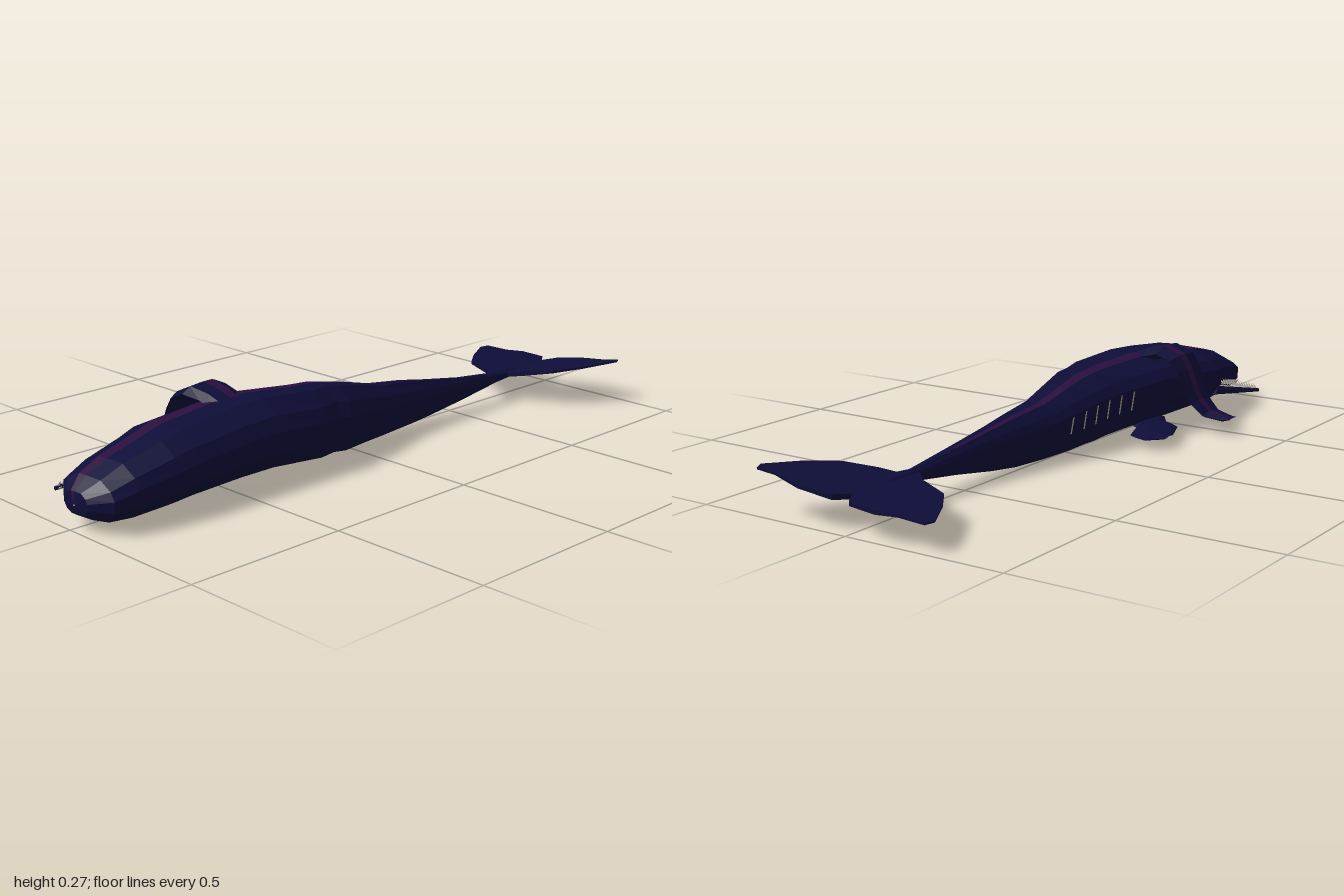
import * as THREE from 'three';

const mat = (name, color, double) => {
  const m = new THREE.MeshStandardMaterial({ color, flatShading: true });
  m.name = name;
  if (double) m.side = THREE.DoubleSide;
  return m;
};

// Skin stretched over closed rings of points; keep(j, i) picks the faces
function loft(rings, keep) {
  const pos = [];
  const n = rings[0].length;
  for (let i = 0; i < rings.length - 1; i++) {
    for (let j = 0; j < n; j++) {
      if (!keep(j, i)) continue;
      const k = (j + 1) % n;
      const a = rings[i][j], b = rings[i][k], c = rings[i + 1][j], d = rings[i + 1][k];
      pos.push(...a, ...c, ...b, ...b, ...c, ...d);
    }
  }
  const g = new THREE.BufferGeometry();
  g.setAttribute('position', new THREE.Float32BufferAttribute(pos, 3));
  g.computeVertexNormals();
  return g;
}

// Body stations: z, left x, right x, bottom y, top y
const STATIONS = [
  [0.995, 0.015, 0.02, 0.075, 0.08],
  [0.99, -0.035, 0.07, 0.05, 0.115],
  [0.95, -0.09, 0.135, 0.028, 0.15],
  [0.88, -0.11, 0.15, 0.022, 0.18],
  [0.75, -0.135, 0.158, 0.025, 0.212],
  [0.68, -0.16, 0.158, 0.028, 0.225],
  [0.5, -0.155, 0.152, 0.03, 0.245],
  [0.38, -0.14, 0.152, 0.03, 0.252],
  [0.2, -0.1, 0.158, 0.018, 0.24],
  [0.13, -0.088, 0.135, 0.014, 0.235],
  [0.09, -0.082, 0.143, 0.012, 0.228],
  [0, -0.072, 0.12, 0.01, 0.21],
  [-0.12, -0.05, 0.095, 0.01, 0.18],
  [-0.25, -0.025, 0.075, 0.013, 0.165],
  [-0.35, -0.008, 0.068, 0.023, 0.148],
  [-0.5, 0.012, 0.063, 0.045, 0.125],
  [-0.68, 0.018, 0.052, 0.07, 0.104],
  [-0.8, 0.02, 0.045, 0.078, 0.1],
  [-0.93, 0.03, 0.032, 0.086, 0.09],
];
// Cross-section from -1 to 1, anticlockwise from the back of the animal
const SECTION = [
  [1, 0.25], [0.86, 0.64], [0.48, 1], [-0.06, 0.98], [-0.36, 0.94], [-0.82, 0.62],
  [-1, 0.35], [-0.98, -0.25], [-0.75, -0.75], [-0.4, -1], [0.1, -1], [0.75, -0.78], [0.98, -0.3],
];
const place = ([z, x0, x1, y0, y1], [u, v]) =>
  [(x0 + x1) / 2 + u * (x1 - x0) / 2, (y0 + y1) / 2 + v * (y1 - y0) / 2, z];

// Point on the body skin at any z
function onBody(z, u, v) {
  const i = STATIONS.findIndex((s) => s[0] <= z);
  const a = STATIONS[i - 1], b = STATIONS[i];
  const t = (a[0] - z) / (a[0] - b[0]);
  return place(a.map((q, k) => q + (b[k] - q) * t), [u, v]);
}

// Flipper rings from stations: x, y, rear z, front z, thickness
function flipperRings(path) {
  return path.map(([x, y, z0, z1, th], i) => {
    const p = path[Math.max(i - 1, 0)], q = path[Math.min(i + 1, path.length - 1)];
    const dx = q[0] - p[0], dy = q[1] - p[1], l = Math.hypot(dx, dy);
    const nx = dy / l, ny = -dx / l;
    return [[0, 0], [0.28, 0.5], [0.5, 0.5], [0.8, 0.4], [1, 0], [0.75, -0.5], [0.28, -0.5]]
      .map(([s, h]) => [x + nx * h * th, y + ny * h * th, z0 + (z1 - z0) * s]);
  });
}
const UPPER = [
  [0.0, 0.225, 0.37, 0.5, 0.04], [-0.05, 0.245, 0.37, 0.51, 0.04], [-0.1, 0.257, 0.37, 0.53, 0.042],
  [-0.145, 0.237, 0.38, 0.535, 0.038], [-0.168, 0.2, 0.39, 0.535, 0.032], [-0.182, 0.15, 0.4, 0.54, 0.03],
  [-0.202, 0.1, 0.415, 0.54, 0.03], [-0.24, 0.062, 0.43, 0.535, 0.024],
  [-0.29, 0.052, 0.45, 0.525, 0.018], [-0.318, 0.053, 0.465, 0.515, 0.004],
];
const LOWER = [
  [0.0, 0.03, 0.35, 0.5, 0.04], [-0.06, 0.022, 0.32, 0.5, 0.036], [-0.1, 0.024, 0.22, 0.44, 0.036],
  [-0.15, 0.034, 0.17, 0.39, 0.032], [-0.195, 0.038, 0.145, 0.35, 0.024],
  [-0.23, 0.04, 0.18, 0.27, 0.014], [-0.243, 0.041, 0.2, 0.235, 0.003],
];
// Half fluke outlines, x and distance behind the middle
const FLUKES = {
  leftFluke: [[0.035, 0.66], [0.05, 0.67], [0.06, 0.72], [0.11, 0.735], [0.2, 0.78], [0.262, 0.86],
    [0.315, 0.972], [0.302, 1], [0.25, 0.987], [0.16, 1], [0.06, 0.98], [0.03, 0.93]],
  rightFluke: [[0.03, 0.93], [0, 0.98], [-0.1, 0.998], [-0.16, 0.982], [-0.255, 0.992], [-0.262, 0.96],
    [-0.2, 0.85], [-0.145, 0.775], [-0.03, 0.72], [0.02, 0.67], [0.035, 0.66]],
};

export function createModel() {
  const group = new THREE.Group();
  const skin = mat('navy skin', 0x0e0d38);
  const stripe = mat('purple stripe', 0x2a0f3e);
  const ivory = mat('ivory', 0xaca698, true);
  const add = (name, geo, m) => {
    const mesh = new THREE.Mesh(geo, m);
    mesh.name = name;
    group.add(mesh);
    return mesh;
  };

  // Body with a stripe along the upper flank
  const body = STATIONS.map((s) => SECTION.map((p) => place(s, p)));
  const onStripe = (j, i) => j === 3 && i < 15;
  add('body', loft(body, (j, i) => !onStripe(j, i)), skin);
  add('bodyStripe', loft(body, onStripe), stripe);

  // Flippers, one draped over the flank and one folded underneath
  const upper = flipperRings(UPPER);
  add('upperFlipper', loft(upper, (j) => j !== 1), skin);
  add('upperFlipperStripe', loft(upper, (j) => j === 1), stripe);
  add('lowerFlipper', loft(flipperRings(LOWER), () => true), skin);

  // Tail flukes, tilted up at the left tip
  for (const [name, outline] of Object.entries(FLUKES)) {
    const shape = new THREE.Shape(outline.map(([x, y]) => new THREE.Vector2(x, y)));
    const g = new THREE.ExtrudeGeometry(shape, { depth: 1, bevelEnabled: false });
    g.rotateX(-Math.PI / 2);
    const p = g.attributes.position;
    for (let i = 0; i < p.count; i++) {
      const dx = p.getX(i) - 0.03;
      const thick = 0.016 - 0.04 * Math.abs(dx);
      p.setY(i, 0.088 + (dx > 0 ? 0.18 : 0.03) * dx + (p.getY(i) - 0.5) * thick);
    }
    g.computeVertexNormals();
    add(name, g, skin);
  }

  // Slender open jaw
  const up = new THREE.Vector3(0, 1, 0);
  const hinge = new THREE.Vector3(-0.138, 0.085, 0.69), tip = new THREE.Vector3(-0.187, 0.05, 0.915);
  const along = tip.clone().sub(hinge);
  const jaw = add('jaw', new THREE.CylinderGeometry(0.006, 0.016, along.length(), 6), skin);
  jaw.position.copy(hinge).lerp(tip, 0.5);
  jaw.quaternion.setFromUnitVectors(up, along.clone().normalize());

  // Tooth rows on the jaw and along the mouth
  const toothRow = (name, a, b, dir, count) => {
    const row = new THREE.Group();
    row.name = name;
    for (let i = 0; i < count; i++) {
      const tooth = new THREE.Mesh(new THREE.ConeGeometry(0.004, 0.022, 5), ivory);
      tooth.name = 'tooth';
      tooth.position.copy(a).lerp(b, (i + 0.5) / count).addScaledVector(dir, 0.01);
      tooth.quaternion.setFromUnitVectors(up, dir);
      row.add(tooth);
    }
    group.add(row);
  };
  const V = (x, y, z) => new THREE.Vector3(x, y, z);
  toothRow('jawTeethFront', V(-0.138, 0.1, 0.74), V(-0.185, 0.055, 0.91), V(0.5, 0.85, 0).normalize(), 14);
  toothRow('jawTeethRear', V(-0.133, 0.087, 0.74), V(-0.182, 0.048, 0.91), V(0.85, 0.5, 0).normalize(), 14);
  toothRow('mouthTeeth', V(-0.134, 0.098, 0.75), V(-0.088, 0.058, 0.94), V(-0.6, 0.8, 0).normalize(), 14);

  // Thin pale rib marks on the belly side
  for (let r = 0; r < 6; r++) {
    const z = -0.05 + r * 0.055;
    const corners = [[0, 0.3], [0.006, 0.3], [-0.012, -0.22], [-0.006, -0.22]].map(([dz, v]) => {
      const [x, y, zz] = onBody(z + dz, -1, v);
      return [x - 0.003, y, zz];
    });
    const g = new THREE.BufferGeometry();
    g.setAttribute('position', new THREE.Float32BufferAttribute(corners.flat(), 3));
    g.setIndex([0, 2, 1, 1, 2, 3]);
    g.computeVertexNormals();
    add('ribMark', g, ivory);
  }
  return group;
}
